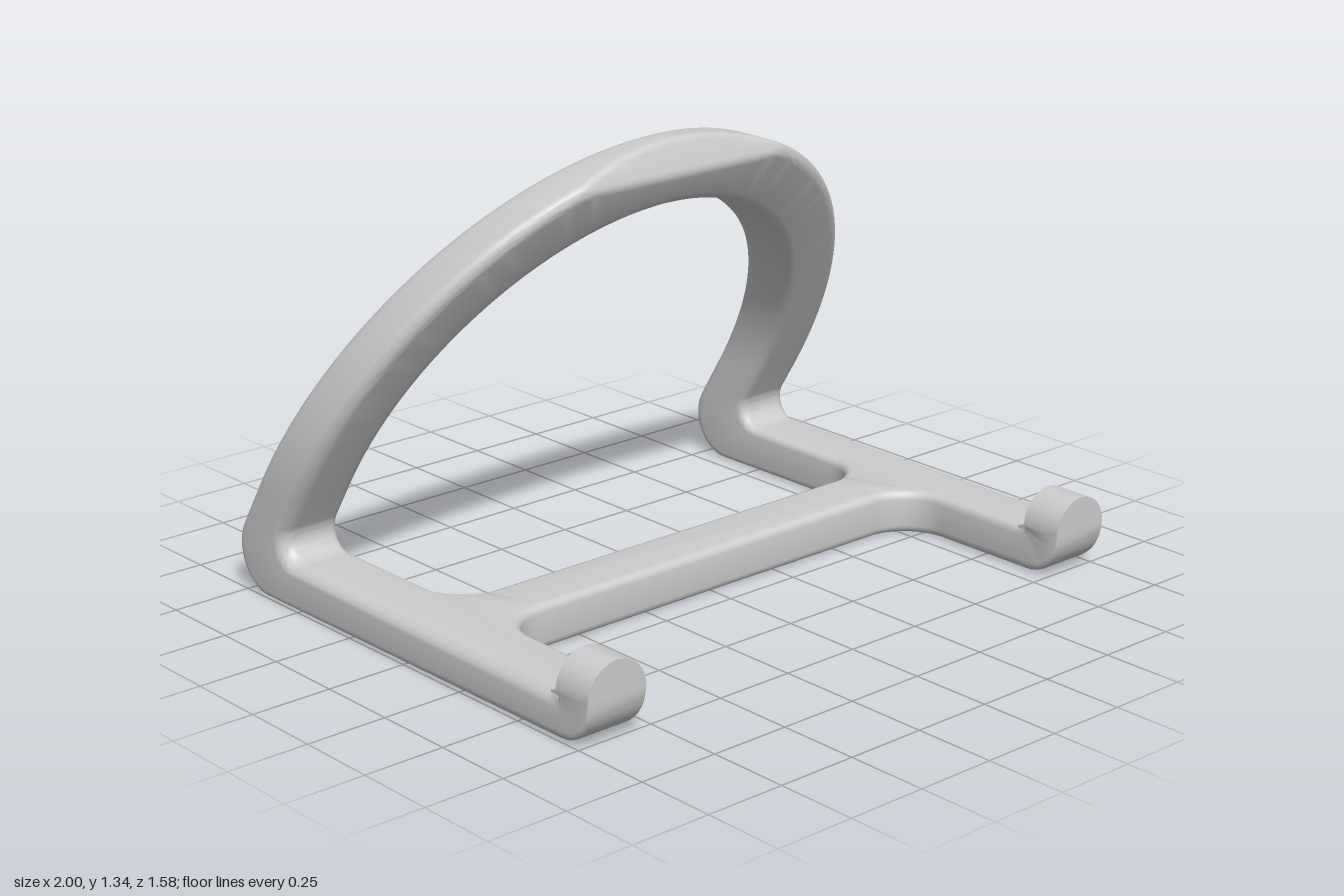
import * as THREE from 'three';
import { toCreasedNormals } from 'three/addons/utils/BufferGeometryUtils.js';

const V = (x, y, z) => new THREE.Vector3(x, y, z);
const H = 0.135;      // height of the base
const ARCH_Y = 0.335; // centre height of the arch
const EDGE = 0.03;    // edge rounding

// Planes of the leaning arm: back, front and the cut at its tip
const zBack = y => -0.77 + 0.614 * (y - 0.2);
const zFront = y => 0.059 + 0.614 * (y - 1.235);
const zCut = y => 0.059 - 0.39 * (y - 1.235);

// Section of a side rail between an outer and an inner profile point [z, y]
function railSection(out, inn, e = EDGE) {
  const o = V(0, out[1], out[0]), i = V(0, inn[1], inn[0]);
  const b = i.clone().add(o.clone().sub(i).setLength(e));
  const at = (p, x) => V(x, p.y, p.z);
  return { e, pts: [at(o, 1), at(o, 0.8), at(i, 0.8), at(i, 1 - e), at(b, 1)] };
}

// Section of the arch at angle t, with the planar cut near the top
function archSection(t) {
  const at = (r, zOf) => {
    const y = ARCH_Y + r * Math.sin(t);
    return V(r * Math.cos(t), y, zOf(y));
  };
  const rCut = Math.min(1 - EDGE, (1.235 - ARCH_Y) / Math.max(Math.sin(t), 0.01));
  return { e: EDGE, pts: [
    at(1, zBack), at(0.8, zBack), at(0.8, zFront), at(rCut, zFront),
    at(1, y => Math.min(zFront(y) - EDGE, zCut(y)))
  ] };
}

// Round the corners of a section
function roundSection({ pts, e }, steps = 4) {
  const ring = [], n = pts.length;
  pts.forEach((p, k) => {
    const d = k > 2 ? e * 0.6 : e;
    const toward = q => p.clone().add(q.clone().sub(p).setLength(Math.min(d, 0.45 * p.distanceTo(q))));
    const curve = new THREE.QuadraticBezierCurve3(toward(pts[(k + n - 1) % n]), p, toward(pts[(k + 1) % n]));
    ring.push(...curve.getPoints(steps));
  });
  return ring;
}

// Skin a row of rings and close both ends
function loft(rings) {
  const n = rings[0].length, last = (rings.length - 1) * n, index = [];
  for (let i = 0; i < rings.length - 1; i++) {
    for (let j = 0; j < n; j++) {
      const a = i * n + j, b = i * n + (j + 1) % n;
      index.push(a, b, b + n, a, b + n, a + n);
    }
  }
  for (let j = 1; j < n - 1; j++) {
    index.push(0, j + 1, j, last, last + j, last + j + 1);
  }
  const g = new THREE.BufferGeometry().setFromPoints(rings.flat());
  g.setIndex(index);
  return toCreasedNormals(g, 0.7);
}

function frameGeometry() {
  const rail = [railSection([0.79, 0.14], [0.66, 0.14], 0.004)];
  // Curled front end
  for (let k = 0; k <= 10; k++) {
    const a = k / 10 * Math.PI / 2;
    rail.push(railSection([0.66 + 0.13 * Math.cos(a), 0.13 - 0.13 * Math.sin(a)], [0.66, H], 0.004 + 0.026 * k / 10));
  }
  rail.push(railSection([0.62, 0], [0.62, H]));
  // Bend at the back, turning up into the arm
  const turn = Math.PI / 2 + Math.atan2(0.525, 0.851);
  for (let k = 0; k <= 16; k++) {
    const a = k / 16 * turn, s = Math.sin(a), c = Math.cos(a);
    rail.push(railSection([-0.66 - 0.13 * s, 0.13 - 0.13 * c], [-0.502 - 0.065 * s, 0.2 - 0.065 * c]));
  }
  const rings = rail.map(s => roundSection(s));
  const mirrored = rings.map(r => r.map(p => V(-p.x, p.y, p.z))).reverse();
  const arch = [];
  for (let k = 0; k <= 96; k++) arch.push(roundSection(archSection(k / 96 * Math.PI)));
  return loft([...rings, ...arch, ...mirrored]);
}

// Flat bar that flares into both rails
function crossbarGeometry() {
  const s = new THREE.Shape(), r = 0.14, x = 0.8, end = 0.86, z0 = -0.01, z1 = 0.18, b = 0.025;
  s.moveTo(-x + r, z0);
  s.lineTo(x - r, z0);
  s.absarc(x - r, z0 - r, r, Math.PI / 2, 0, true);
  s.lineTo(end, z0 - r);
  s.lineTo(end, z1 + r);
  s.lineTo(x, z1 + r);
  s.absarc(x - r, z1 + r, r, 0, -Math.PI / 2, true);
  s.lineTo(-x + r, z1);
  s.absarc(-x + r, z1 + r, r, -Math.PI / 2, -Math.PI, true);
  s.lineTo(-end, z1 + r);
  s.lineTo(-end, z0 - r);
  s.lineTo(-x, z0 - r);
  s.absarc(-x + r, z0 - r, r, Math.PI, Math.PI / 2, true);
  const g = new THREE.ExtrudeGeometry(s, {
    depth: H - 2 * b, bevelThickness: b, bevelSize: b, bevelOffset: -b, bevelSegments: 4, curveSegments: 12
  });
  g.rotateX(Math.PI / 2).translate(0, H - b, 0);
  return toCreasedNormals(g, 0.7);
}

// Small concave fillet behind each stop
function filletGeometry() {
  const s = new THREE.Shape();
  s.moveTo(0.635, H - 0.01);
  s.lineTo(0.67, H - 0.01);
  s.lineTo(0.67, H + 0.025);
  s.lineTo(0.66, H + 0.025);
  s.quadraticCurveTo(0.66, H, 0.635, H);
  const g = new THREE.ExtrudeGeometry(s, { depth: 0.19, bevelEnabled: false, curveSegments: 6 });
  return g.rotateY(-Math.PI / 2).scale(1, 1, 1).translate(0.095, 0, 0);
}

export function createModel() {
  const model = new THREE.Group();
  model.name = 'stand';
  const material = new THREE.MeshStandardMaterial({ color: 0xcccccc });
  const add = (name, geometry, x = 0, y = 0, z = 0) => {
    const mesh = new THREE.Mesh(geometry, material);
    mesh.name = name;
    mesh.position.set(x, y, z);
    model.add(mesh);
  };

  add('railsAndArch', frameGeometry());
  add('crossbar', crossbarGeometry());

  // Round-topped stops at the front of the rails
  const stop = new THREE.CylinderGeometry(0.1, 0.1, 0.13, 32, 1, false, Math.PI / 2, Math.PI).rotateX(Math.PI / 2);
  const fillet = filletGeometry();
  for (const [side, x] of [['left', 0.9], ['right', -0.9]]) {
    add(side + 'Stop', stop, x, 0.14, 0.725);
    add(side + 'StopFillet', fillet, x);
  }
  return model;
}
